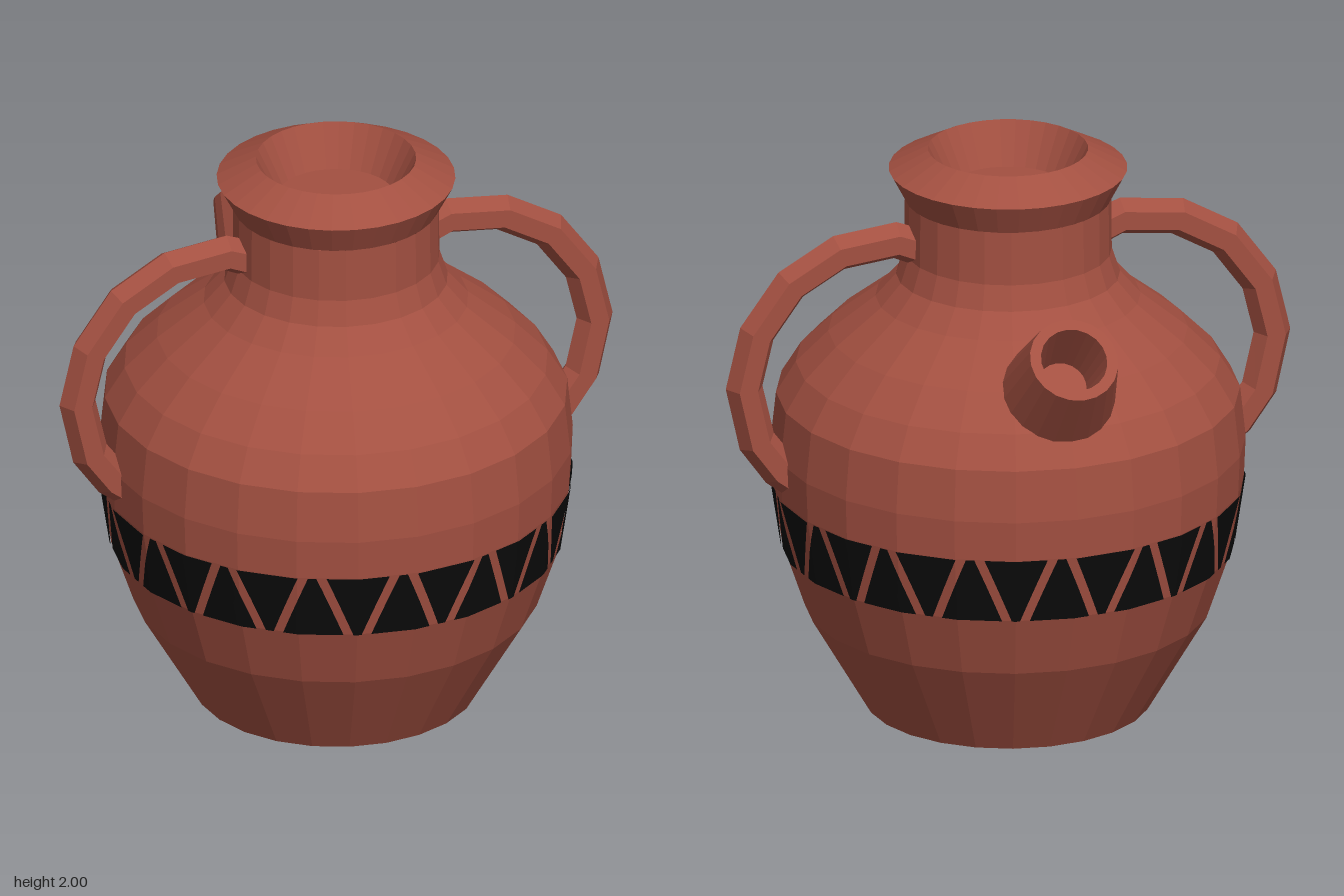
import * as THREE from 'three';

const SIDES = 24;   // facets around the jar
const BAND_LOW = [0.765, 0.57], BAND_HIGH = [0.80, 0.80];

// Lathe from [radius, height] pairs
function turned(profile, sides) {
  return new THREE.LatheGeometry(profile.map(([r, y]) => new THREE.Vector2(r, y)), sides);
}

// Hexagonal bar mitred along a path in the xy plane
function hexBar(path, radius) {
  const pos = [], index = [], n = path.length;
  const pts = path.map(([x, y]) => new THREE.Vector2(x, y));
  pts.forEach((p, i) => {
    const tangent = pts[Math.min(i + 1, n - 1)].clone().sub(pts[Math.max(i - 1, 0)]).normalize();
    for (let k = 0; k < 6; k++) {
      const a = k * Math.PI / 3, u = radius * Math.cos(a);
      pos.push(p.x - tangent.y * u, p.y + tangent.x * u, radius * Math.sin(a));
    }
  });
  for (let i = 0; i < n - 1; i++) {
    for (let k = 0; k < 6; k++) {
      const a = i * 6 + k, b = i * 6 + (k + 1) % 6;
      index.push(a, a + 6, b, b, a + 6, b + 6);
    }
  }
  for (let k = 1; k < 5; k++) {
    const e = (n - 1) * 6;
    index.push(0, k, k + 1, e, e + k + 1, e + k);
  }
  const g = new THREE.BufferGeometry();
  g.setAttribute('position', new THREE.Float32BufferAttribute(pos, 3));
  g.setIndex(index);
  g.computeVertexNormals();
  return g;
}

// Point just above the faceted jar wall, at an angle and a fraction of the band height
function wallPoint(angle, t) {
  const step = 2 * Math.PI / SIDES;
  const local = ((angle % step) + step) % step - step / 2;
  const r = (BAND_LOW[0] + (BAND_HIGH[0] - BAND_LOW[0]) * t) * Math.cos(step / 2) / Math.cos(local) + 0.006;
  return [r * Math.sin(angle), BAND_LOW[1] + (BAND_HIGH[1] - BAND_LOW[1]) * t, r * Math.cos(angle)];
}

// Blunt triangles, alternately upright and inverted, wrapped on the wall
function triangleBand() {
  const pos = [], index = [], count = 32, cols = 8, rows = 4;
  const wide = 0.135, narrow = 0.018;
  for (let i = 0; i < count; i++) {
    const centre = -0.065 + i * 2 * Math.PI / count;
    const start = pos.length / 3;
    for (let r = 0; r <= rows; r++) {
      const t = r / rows;
      const half = THREE.MathUtils.lerp(wide, narrow, i % 2 ? 1 - t : t);
      for (let c = 0; c <= cols; c++) {
        pos.push(...wallPoint(centre + half * (2 * c / cols - 1), t));
      }
    }
    for (let r = 0; r < rows; r++) {
      for (let c = 0; c < cols; c++) {
        const a = start + r * (cols + 1) + c, d = a + cols + 1;
        index.push(a, a + 1, d, a + 1, d + 1, d);
      }
    }
  }
  const g = new THREE.BufferGeometry();
  g.setAttribute('position', new THREE.Float32BufferAttribute(pos, 3));
  g.setIndex(index);
  g.computeVertexNormals();
  return g;
}

export function createModel() {
  const clay = new THREE.MeshStandardMaterial({ color: 0xa35041, flatShading: true, side: THREE.DoubleSide });
  clay.name = 'terracotta';
  const paint = new THREE.MeshStandardMaterial({ color: 0x0b0b0b, side: THREE.DoubleSide });
  paint.name = 'black paint';

  const group = new THREE.Group();
  group.name = 'jar';
  const add = (name, geometry, material, z = 0.035) => {
    const mesh = new THREE.Mesh(geometry, material);
    mesh.name = name;
    mesh.position.z = z;
    group.add(mesh);
    return mesh;
  };

  // Body from the base up to the shoulder and neck
  add('body', turned([
    [0, 0], [0.485, 0], [0.69, 0.35], BAND_LOW, BAND_HIGH, [0.806, 0.94], [0.787, 1.12],
    [0.72, 1.23], [0.61, 1.34], [0.45, 1.465], [0.38, 1.545], [0.352, 1.63], [0.35, 1.82],
  ], SIDES), clay);

  // Flared lip with a shallow mouth
  add('rim', turned([
    [0.35, 1.82], [0.405, 1.925], [0.272, 1.995], [0.2, 1.85], [0, 1.85],
  ], 32), clay);

  // Painted band
  add('triangleBand', triangleBand(), paint);

  // Two side handles
  const path = [
    [0.29, 1.66], [0.40, 1.705], [0.60, 1.682], [0.77, 1.585], [0.89, 1.42],
    [0.935, 1.23], [0.89, 1.03], [0.81, 0.92], [0.73, 0.86],
  ];
  const bar = hexBar(path, 0.065);
  add('leftHandle', bar, clay);
  add('rightHandle', bar, clay).rotation.y = Math.PI;

  // Tapered spout leaning out of the back shoulder
  const spout = add('spout', turned([
    [0.212, -0.36], [0.153, 0], [0.115, 0], [0.085, -0.2], [0, -0.2],
  ], 20), clay, -0.732);
  spout.position.y = 1.505;
  spout.rotation.x = -0.77;

  return group;
}
